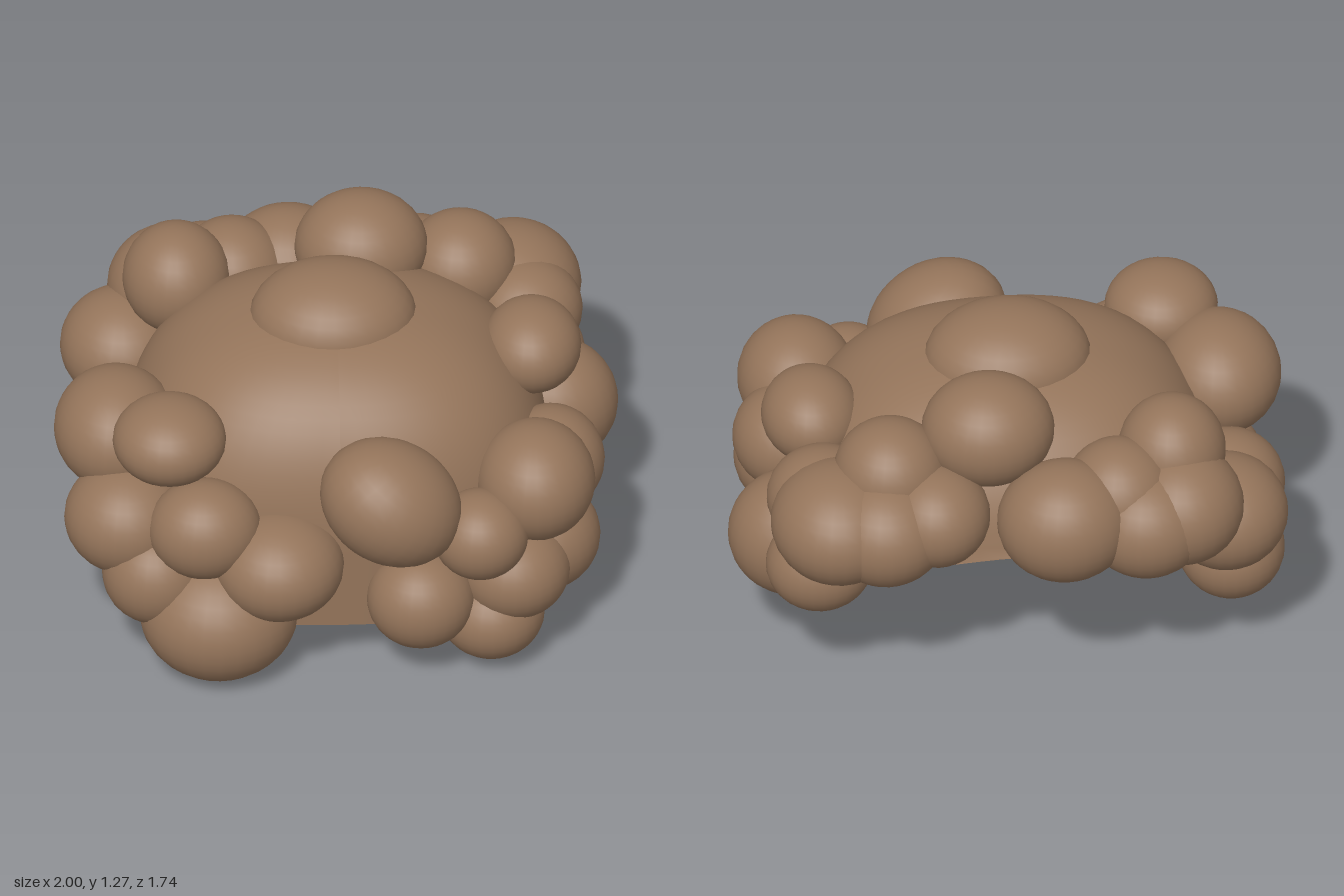
import * as THREE from 'three';

// Every clump: centre x, y, z, then radii x, y, z, then an optional tilt about z
const frontClumps = [
  [-0.43, 0.24, 0.60, 0.28, 0.24, 0.27],
  [-0.22, 0.46, 0.63, 0.23, 0.19, 0.23],
  [-0.48, 0.60, 0.60, 0.20, 0.18, 0.18],
  [-0.60, 0.89, 0.46, 0.20, 0.15, 0.20],
  [0.175, 0.73, 0.64, 0.265, 0.215, 0.23, -0.6],
  [0.49, 0.57, 0.62, 0.17, 0.16, 0.17],
  [0.28, 0.31, 0.64, 0.19, 0.18, 0.18],
  [0.53, 0.20, 0.56, 0.19, 0.17, 0.20],
];
const sideClumps = [
  [-0.78, 0.77, 0.22, 0.22, 0.21, 0.25],
  [-0.75, 0.55, 0.45, 0.22, 0.20, 0.22],
  [-0.65, 0.39, 0.56, 0.19, 0.19, 0.19],
  [-0.74, 0.40, 0.22, 0.19, 0.17, 0.19],
  [-0.77, 0.40, -0.31, 0.19, 0.18, 0.20],
  [-0.78, 0.54, -0.12, 0.20, 0.19, 0.20],
  [0.69, 0.68, 0.45, 0.21, 0.21, 0.23],
  [0.61, 0.37, 0.54, 0.20, 0.18, 0.21],
  [0.71, 0.39, 0.38, 0.21, 0.20, 0.21],
  [0.75, 0.60, 0.22, 0.19, 0.19, 0.20],
  [0.69, 0.90, -0.05, 0.175, 0.16, 0.20],
  [0.77, 0.52, -0.23, 0.23, 0.23, 0.22],
  [0.70, 0.56, -0.47, 0.19, 0.17, 0.18],
];
const backClumps = [
  [0.64, 0.80, -0.55, 0.24, 0.21, 0.26],
  [0.68, 0.80, -0.40, 0.20, 0.18, 0.20],
  [0.45, 0.95, -0.47, 0.20, 0.19, 0.20],
  [0.48, 0.80, -0.61, 0.22, 0.20, 0.22],
  [0.30, 0.84, -0.60, 0.19, 0.18, 0.20],
  [0.10, 1.07, -0.42, 0.235, 0.20, 0.215],
  [-0.15, 0.82, -0.65, 0.24, 0.22, 0.22],
  [-0.35, 0.86, -0.56, 0.20, 0.20, 0.20],
  [-0.44, 0.78, -0.63, 0.22, 0.20, 0.21],
  [-0.57, 0.80, -0.57, 0.22, 0.21, 0.23],
  [-0.55, 0.94, -0.43, 0.19, 0.20, 0.20],
  [-0.74, 0.65, -0.43, 0.22, 0.20, 0.23],
];
const topClumps = [[-0.01, 1.07, -0.01, 0.295, 0.19, 0.25]];

// Full, slightly boxy dome with a wavy rim and a hollow underside
function capGeometry() {
  const points = [[0, 0.456], [1, 0], [1, 0], [1, 0.45]].map(p => new THREE.Vector2(...p));
  for (let i = 1; i <= 18; i++) {
    const a = (i / 18) * Math.PI / 2;
    points.push(new THREE.Vector2(Math.max(0, Math.cos(a)) ** 0.82, 0.45 + 0.68 * Math.sin(a) ** 0.82));
  }
  const geometry = new THREE.LatheGeometry(points, 64);
  const pos = geometry.attributes.position;
  for (let i = 0; i < pos.count; i++) {
    const x = pos.getX(i), y = pos.getY(i), z = pos.getZ(i);
    const radius = Math.hypot(x, z);
    const c = radius ? x / radius : 0, s = radius ? z / radius : 0;
    // the rim hangs low at the front and rises at the back
    const rim = s > 0 ? 0.39 - 0.21 * Math.min(1, 1.4 * s * s) : 0.39 + 0.25 * s * s;
    const boxy = radius ? (Math.abs(c) ** 2.5 + Math.abs(s) ** 2.5) ** -0.4 : 1;
    const newY = radius ? Math.max(y, rim) : y;
    pos.setXYZ(i, x * 0.75 * boxy, newY, z * 0.62 * boxy);
  }
  geometry.computeVertexNormals();
  return geometry;
}

export function createModel() {
  const model = new THREE.Group();
  model.name = 'curlyHair';
  const brown = new THREE.MeshStandardMaterial({ color: 0x94745a, side: THREE.DoubleSide });
  brown.name = 'brown';

  const cap = new THREE.Mesh(capGeometry(), brown);
  cap.name = 'cap';
  model.add(cap);

  // Rounded clumps around the cap
  const ball = new THREE.SphereGeometry(1, 28, 18);
  const groups = { frontCurls: frontClumps, sideCurls: sideClumps, backCurls: backClumps, topCurl: topClumps };
  for (const [name, clumps] of Object.entries(groups)) {
    const group = new THREE.Group();
    group.name = name;
    for (const [x, y, z, rx, ry, rz, tilt = 0] of clumps) {
      const curl = new THREE.Mesh(ball, brown);
      curl.name = 'curl';
      curl.position.set(x, y, z);
      curl.scale.set(rx, ry, rz);
      curl.rotation.z = tilt;
      group.add(curl);
    }
    model.add(group);
  }
  return model;
}
